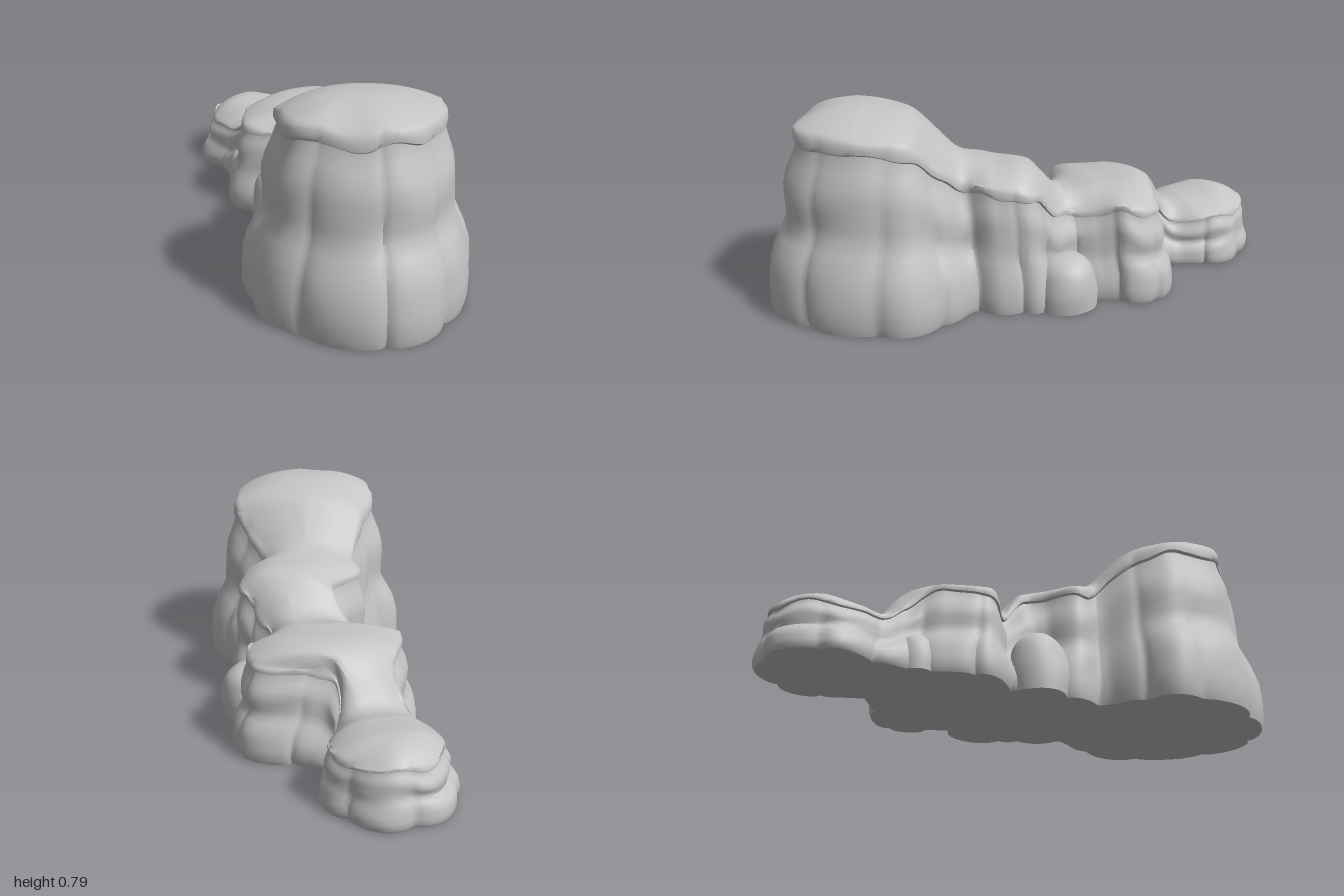
import * as THREE from 'three';
import { mergeVertices, toCreasedNormals } from 'three/addons/utils/BufferGeometryUtils.js';

// Plan outline: foot x, foot z, cap rim x, cap rim z
const OUTLINE = [
  [0.25, 0.985, 0.22, 0.85], [0.43, 0.87, 0.36, 0.79], [0.52, 0.70, 0.44, 0.62],
  [0.56, 0.46, 0.44, 0.44], [0.47, 0.29, 0.37, 0.34], [0.36, 0.20, 0.28, 0.24],
  [0.37, 0.08, 0.33, 0.12], [0.365, -0.05, 0.34, -0.01], [0.29, -0.13, 0.27, -0.085],
  [0.25, -0.22, 0.19, -0.17], [0.24, -0.31, 0.19, -0.28], [0.28, -0.42, 0.23, -0.40],
  [0.25, -0.55, 0.20, -0.51], [0.07, -0.60, 0.02, -0.53], [-0.03, -0.60, -0.11, -0.53],
  [-0.09, -0.67, -0.13, -0.64], [-0.08, -0.80, -0.11, -0.80], [-0.16, -0.93, -0.18, -0.91],
  [-0.34, -0.99, -0.33, -0.96], [-0.50, -0.91, -0.46, -0.89], [-0.56, -0.72, -0.50, -0.72],
  [-0.47, -0.58, -0.41, -0.57], [-0.40, -0.47, -0.31, -0.46], [-0.38, -0.34, -0.31, -0.32],
  [-0.38, -0.18, -0.31, -0.16], [-0.25, -0.07, -0.12, -0.10], [-0.18, 0.03, -0.02, 0.00],
  [-0.17, 0.18, -0.12, 0.19], [-0.12, 0.31, -0.08, 0.30], [-0.20, 0.43, -0.11, 0.42],
  [-0.255, 0.58, -0.13, 0.57], [-0.16, 0.80, -0.07, 0.77], [0.01, 0.935, 0.06, 0.83],
];

// Ridge line over the four plateaus: position along ridge, x, height
const RIDGE = [
  [-0.94, -0.34, 0.275], [-0.80, -0.28, 0.262], [-0.68, -0.22, 0.262], [-0.60, -0.14, 0.36],
  [-0.53, -0.07, 0.42], [-0.30, 0.03, 0.43], [-0.14, 0.10, 0.425], [-0.08, 0.15, 0.49],
  [-0.03, 0.17, 0.54], [0.12, 0.15, 0.555], [0.24, 0.12, 0.58], [0.31, 0.12, 0.645],
  [0.40, 0.14, 0.735], [0.50, 0.15, 0.77], [0.61, 0.14, 0.785],
];

// Cliff profile: height fraction, inset fraction, extra outward push
const WALL = [
  [0, 0.03, -0.003], [0.05, -0.02, 0.002], [0.15, -0.02, 0.003], [0.25, 0.02, 0.003],
  [0.34, 0.16, 0.002], [0.42, 0.37, 0], [0.48, 0.54, -0.002], [0.55, 0.57, 0], [0.62, 0.58, 0.002],
  [0.69, 0.6, 0.003], [0.76, 0.68, 0.002], [0.83, 0.83, -0.001], [0.9, 0.95, -0.005],
  [0.92, 0.97, -0.005], [0.93, 0.94, 0.003], [0.95, 0.94, 0.004], [0.98, 0.96, 0.003], [1, 1, 0],
];
const SEGMENTS = 396, LOBES = 25, TOP_RINGS = 10;

const ridge = new THREE.CubicInterpolant(
  RIDGE.map((p) => p[0]), RIDGE.flatMap((p) => [p[1], p[2]]), 2, new Float32Array(2));

// Ridge point belonging to a rim point; the rear of the ridge runs askew
function ridgeAt(rim) {
  const w = THREE.MathUtils.clamp(
    rim.z + 0.4 * Math.min(rim.x, 0), RIDGE[0][0], RIDGE[RIDGE.length - 1][0]);
  const [x, y] = ridge.evaluate(w);
  return new THREE.Vector3(x, y, w - 0.4 * Math.min(x, 0));
}

const closedCurve = (k) => new THREE.CatmullRomCurve3(
  OUTLINE.map((p) => new THREE.Vector3(p[k], 0, p[k + 1])), true, 'centripetal');

// Columns of points from the foot, up the cliff, over the cap to the ridge
function buildColumns() {
  const foot = closedCurve(0), rim = closedCurve(2), columns = [];
  for (let i = 0; i < SEGMENTS; i++) {
    const t = i / SEGMENTS, turn = 2 * Math.PI * t;
    const b = foot.getPoint(t), r = rim.getPoint(t), d = foot.getTangent(t);
    const top = ridgeAt(r);
    const rimY = top.y - 0.06 + 0.006 * Math.sin(turn * 13) + 0.004 * Math.sin(turn * 22 + 1);
    const lobe = Math.pow(Math.abs(Math.sin(Math.PI * LOBES * t)), 0.6) * 0.034 - 0.024;
    const column = WALL.map(([h, inset, push]) => {
      const wave = 0.003 * Math.sin(h * 19 + 2 * Math.sin(turn * 9)) * Math.sin(Math.PI * h);
      const out = lobe * (1 - 0.75 * h) + push + wave;
      const dip = h > 0.6 && h < 1 ? 0.007 * Math.sin(turn * 19) + 0.004 * Math.sin(turn * 31) : 0;
      return new THREE.Vector3(
        b.x + (r.x - b.x) * inset - d.z * out,
        h * rimY + dip,
        b.z + (r.z - b.z) * inset + d.x * out);
    });
    for (let j = 1; j <= TOP_RINGS; j++) {
      const s = Math.pow(j / TOP_RINGS, 1.3);
      const p = new THREE.Vector3().lerpVectors(r, top, s);
      p.y = rimY + (top.y - rimY) * (1 - Math.pow(1 - s, 2.6));
      column.push(p);
    }
    columns.push(column);
  }
  return columns;
}

function skin(columns) {
  const rows = columns[0].length, n = columns.length, index = [];
  const position = columns.flatMap((c) => c.flatMap((p) => p.toArray()));
  for (let i = 0; i < n; i++) {
    for (let j = 0; j < rows - 1; j++) {
      const a = i * rows + j, b = ((i + 1) % n) * rows + j;
      index.push(a, b, b + 1, a, b + 1, a + 1);
    }
  }
  const geometry = new THREE.BufferGeometry();
  geometry.setAttribute('position', new THREE.Float32BufferAttribute(position, 3));
  geometry.setIndex(index);
  return toCreasedNormals(mergeVertices(geometry, 1e-5), 0.9);
}

// Low rounded buttress at the foot of the cliffs
function buttress(r, h) {
  const profile = [[0.96, 0], [1, 0.3], [0.93, 0.58], [0.78, 0.8], [0.45, 0.95], [0, 1]];
  const curve = new THREE.SplineCurve(profile.map(([x, y]) => new THREE.Vector2(x * r, y * h)));
  const points = [new THREE.Vector2(0, 0), ...curve.getPoints(14)];
  points.forEach((p) => { p.x = Math.max(p.x, 0); });
  const geometry = new THREE.LatheGeometry(points, 28);
  const pos = geometry.attributes.position;
  for (let i = 0; i < pos.count; i++) {
    const a = Math.atan2(pos.getZ(i), pos.getX(i));
    const k = 1 + 0.04 * Math.sin(3 * a + pos.getY(i) * 20);
    pos.setX(i, pos.getX(i) * k);
    pos.setZ(i, pos.getZ(i) * k);
  }
  return toCreasedNormals(geometry, 0.9);
}

export function createModel() {
  const group = new THREE.Group();
  group.name = 'rockFormation';
  const stone = new THREE.MeshStandardMaterial({ color: 0xc4c4c4 });
  stone.name = 'greyStone';
  const add = (name, geometry) => {
    const mesh = new THREE.Mesh(geometry, stone);
    mesh.name = name;
    group.add(mesh);
    return mesh;
  };

  const columns = buildColumns();
  add('cliffsAndPlateaus', skin(columns));

  // Flat underside
  const shape = new THREE.Shape(columns.map((c) => new THREE.Vector2(c[0].x, c[0].z)));
  add('underside', new THREE.ShapeGeometry(shape).rotateX(Math.PI / 2));

  // Side buttresses: x, z, radius, height
  [
    [-0.15, 0.03, 0.12, 0.26], [0.27, -0.165, 0.125, 0.21], [-0.34, -0.43, 0.07, 0.15],
  ].forEach(([x, z, r, h]) => add('buttress', buttress(r, h)).position.set(x, 0, z));

  return group;
}
